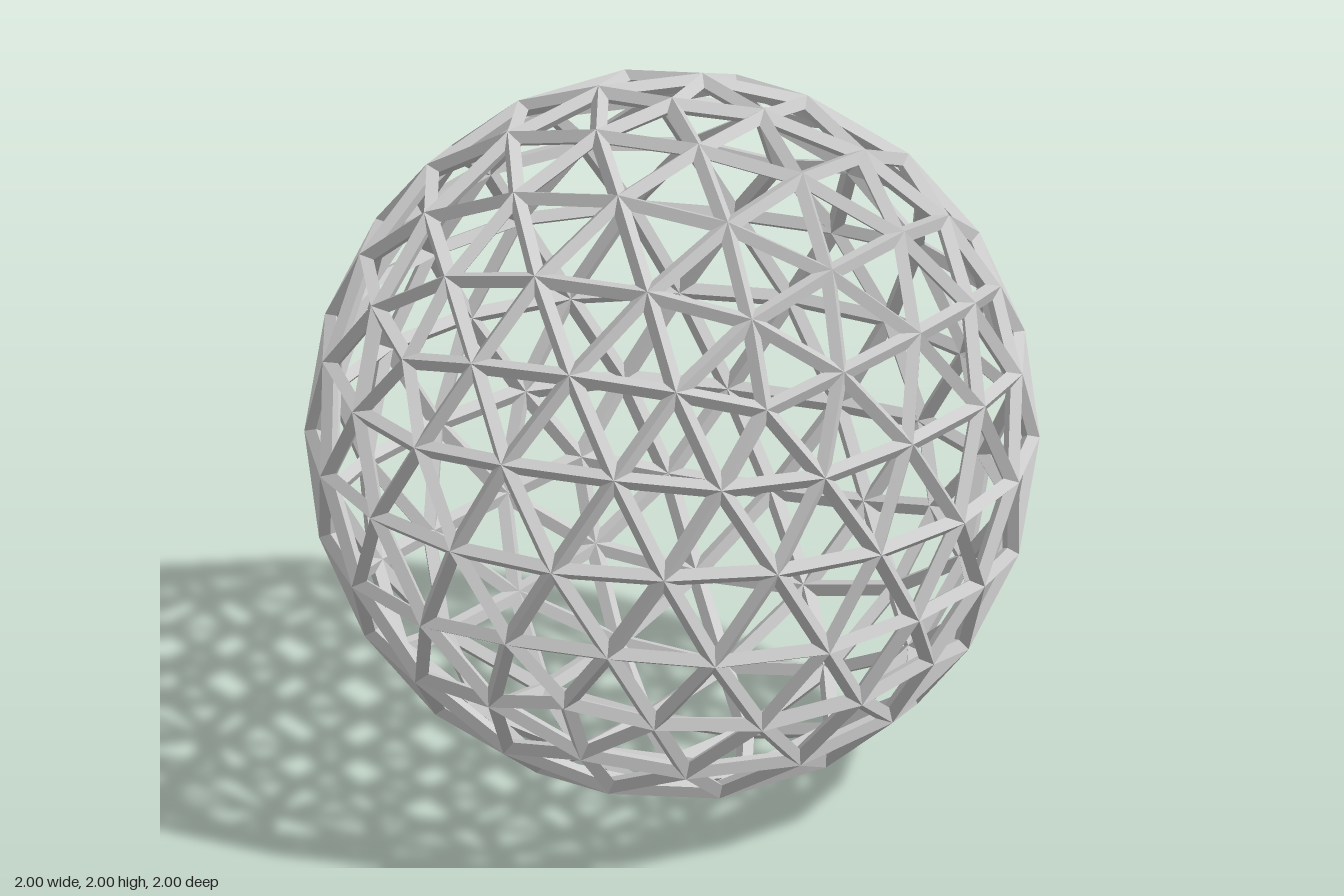
import * as THREE from 'three';

const FREQ = 4;          // divisions along each icosahedron edge
const THICK = 0.048;     // diagonal of the square struts
const MID = 1 - THICK / 2;

// The 20 icosahedron faces, pole up, corners counter-clockwise from outside
function icosahedronFaces() {
  const h = 1 / Math.sqrt(5), r = 2 * h;
  const ring = (y, start) => Array.from({ length: 5 }, (_, k) => {
    const a = start + k * Math.PI * 0.4;
    return new THREE.Vector3(r * Math.cos(a), y, -r * Math.sin(a));
  });
  const up = ring(h, 0), low = ring(-h, Math.PI / 5);
  const north = new THREE.Vector3(0, 1, 0), south = new THREE.Vector3(0, -1, 0);
  const faces = [];
  for (let k = 0; k < 5; k++) {
    const n = (k + 1) % 5;
    faces.push([north, up[k], up[n]], [up[k], low[k], up[n]],
      [up[n], low[k], low[n]], [south, low[n], low[k]]);
  }
  return faces;
}

// Split one face into FREQ x FREQ triangles on the sphere of strut centres
function subdivide([a, b, c]) {
  const point = (i, j) => new THREE.Vector3()
    .addScaledVector(a, FREQ - i)
    .addScaledVector(b, i - j)
    .addScaledVector(c, j)
    .setLength(MID);
  const tris = [];
  for (let i = 0; i < FREQ; i++) {
    for (let j = 0; j <= i; j++) {
      tris.push([point(i, j), point(i + 1, j), point(i + 1, j + 1)]);
      if (j < i) tris.push([point(i, j), point(i + 1, j + 1), point(i, j + 1)]);
    }
  }
  return tris;
}

// Corner of the window in a triangle, half a strut away from both edges
function insetCorner(p, next, prev) {
  const u = next.clone().sub(p).normalize();
  const v = prev.clone().sub(p).normalize();
  const sin = u.clone().cross(v).length();
  return p.clone().addScaledVector(u.add(v), THICK / 2 / sin);
}

export function createModel() {
  const pos = [];
  const quad = (a, b, c, d) => {
    for (const p of [a, b, c, a, c, d]) pos.push(p.x, p.y, p.z);
  };

  // Each triangle contributes the half of its three struts that faces its window
  for (const tri of icosahedronFaces().flatMap(subdivide)) {
    const outer = tri.map(p => p.clone().setLength(1));
    const inner = tri.map(p => p.clone().setLength(1 - THICK));
    const inset = tri.map((p, i) => insetCorner(p, tri[(i + 1) % 3], tri[(i + 2) % 3]));
    for (let i = 0; i < 3; i++) {
      const n = (i + 1) % 3;
      quad(outer[i], outer[n], inset[n], inset[i]);
      quad(inner[i], inset[i], inset[n], inner[n]);
    }
  }

  const geometry = new THREE.BufferGeometry();
  geometry.setAttribute('position', new THREE.Float32BufferAttribute(pos, 3));
  geometry.computeVertexNormals();

  const lattice = new THREE.Mesh(geometry,
    new THREE.MeshStandardMaterial({ color: 0xcccccc, flatShading: true }));
  lattice.name = 'geodesicLattice';
  lattice.position.y = 1;

  const group = new THREE.Group();
  group.name = 'geodesicSphere';
  group.add(lattice);
  return group;
}
